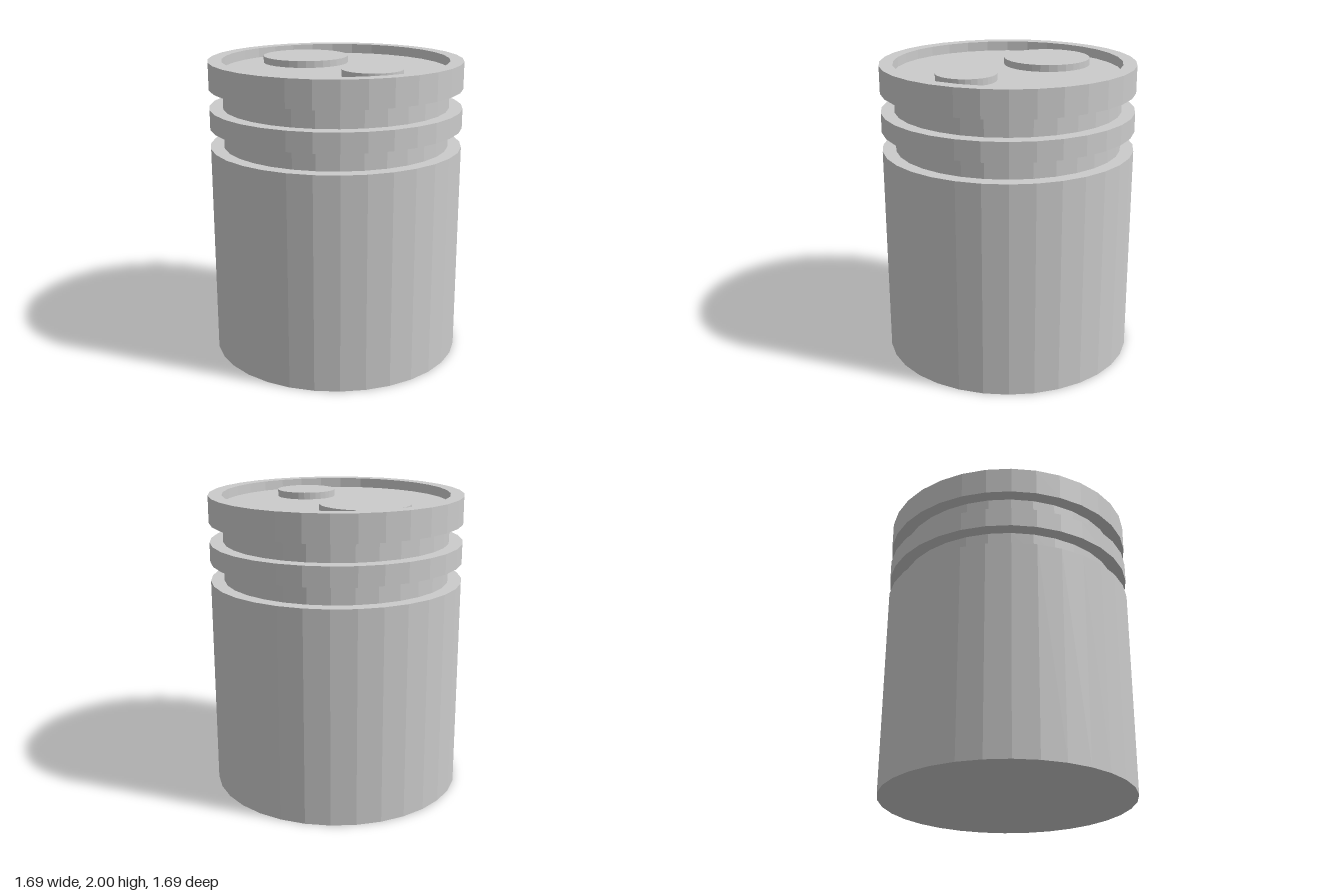
import * as THREE from 'three';

const SIDES = 32;
const OUTER = 0.845, INNER = 0.755, FLOOR = 1.935;

export function createModel() {
  const model = new THREE.Group();
  model.name = 'groovedCanister';
  const material = new THREE.MeshStandardMaterial({ color: 0xcccccc, flatShading: true });

  // Body: closed base, two ring grooves, raised rim and recessed top
  const profile = [[0, 0], [OUTER, 0]];
  for (const y of [1.43, 1.69]) {
    profile.push([OUTER, y], [INNER, y], [INNER, y + 0.13], [OUTER, y + 0.13]);
  }
  profile.push([OUTER, 2], [INNER, 2], [INNER, FLOOR], [0, FLOOR]);
  const points = profile.map(([r, y]) => new THREE.Vector2(r, y));
  const body = new THREE.Mesh(new THREE.LatheGeometry(points, SIDES), material);
  body.name = 'body';
  model.add(body);

  // Raised discs standing on the recessed top
  const addDisc = (name, radius, x, z) => {
    const height = 0.045;
    const disc = new THREE.Mesh(new THREE.CylinderGeometry(radius, radius, height, SIDES), material);
    disc.name = name;
    disc.position.set(x, FLOOR + height / 2, z);
    model.add(disc);
  };
  addDisc('largeDisc', 0.293, 0.01, -0.37);
  addDisc('smallDisc', 0.197, 0.01, 0.385);

  return model;
}
